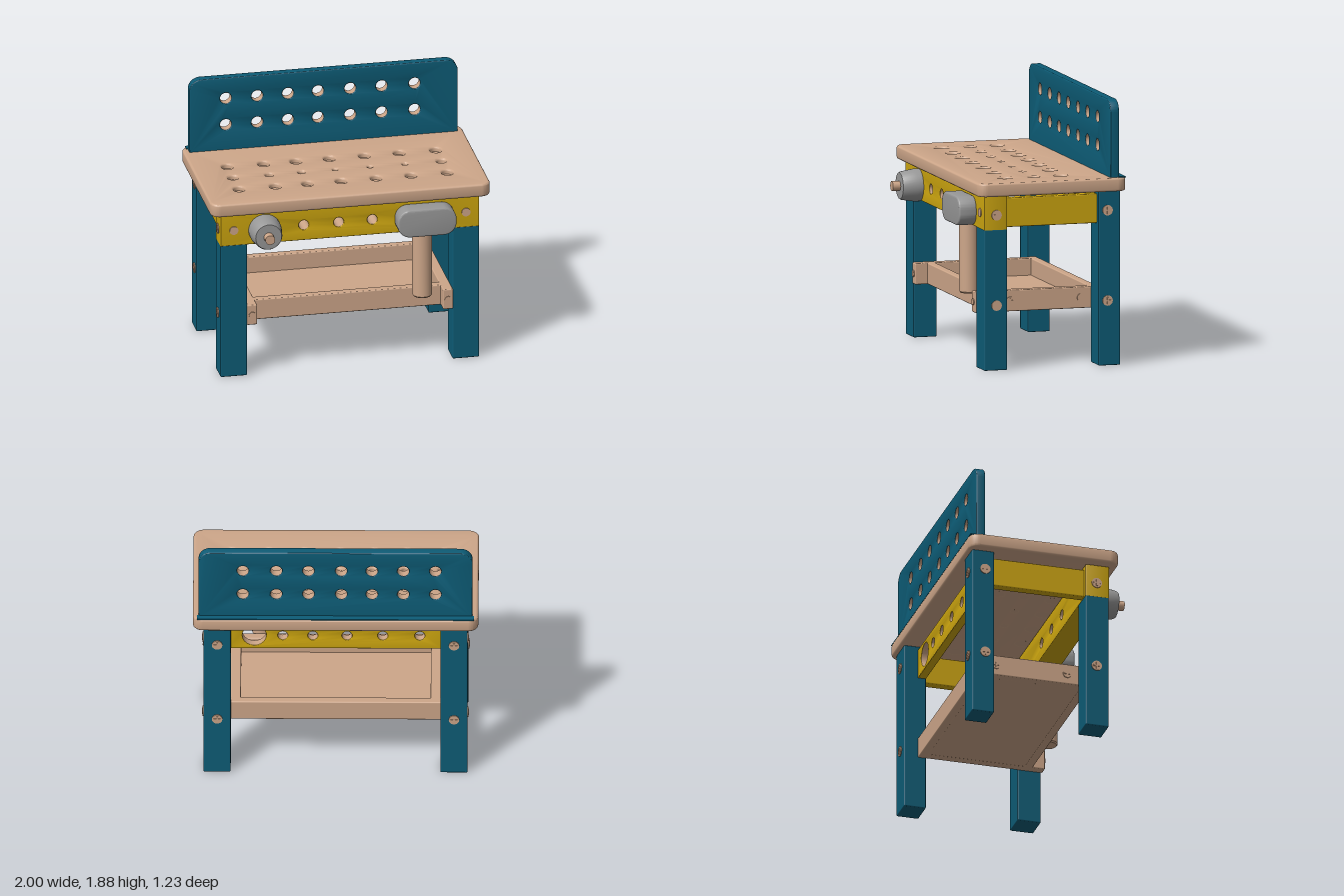
import * as THREE from 'three';
import { toCreasedNormals } from 'three/addons/utils/BufferGeometryUtils.js';
import { RoundedBoxGeometry } from 'three/addons/geometries/RoundedBoxGeometry.js';

const material = (name, color, side = THREE.FrontSide) => {
  const m = new THREE.MeshStandardMaterial({ color, side });
  m.name = name;
  return m;
};

export function createModel() {
  const blue = material('blue paint', 0x0d5c76);
  const yellow = material('yellow paint', 0xcca50f);
  const wood = material('light wood', 0xcda689, THREE.DoubleSide);
  const grey = material('grey paint', 0x979797);
  const model = new THREE.Group();
  model.name = 'toyWorkbench';

  const add = (name, geometry, mat, x = 0, y = 0, z = 0, parent = model) => {
    const mesh = new THREE.Mesh(geometry, mat);
    mesh.name = name;
    mesh.position.set(x, y, z);
    parent.add(mesh);
    return mesh;
  };

  // Softly edged box given by its limits on each axis
  const block = (name, mat, [x0, x1], [y0, y1], [z0, z1], r = 0.008) =>
    add(name, new RoundedBoxGeometry(x1 - x0, y1 - y0, z1 - z0, 2, r), mat,
      (x0 + x1) / 2, (y0 + y1) / 2, (z0 + z1) / 2);

  // Rectangle outline with separate lower and upper corner radii
  const outline = (x0, x1, y0, y1, lower, upper) => {
    const s = new THREE.Shape();
    s.moveTo(x0 + lower, y0);
    s.lineTo(x1 - lower, y0);
    if (lower) s.absarc(x1 - lower, y0 + lower, lower, -Math.PI / 2, 0);
    s.lineTo(x1, y1 - upper);
    if (upper) s.absarc(x1 - upper, y1 - upper, upper, 0, Math.PI / 2);
    s.lineTo(x0 + upper, y1);
    if (upper) s.absarc(x0 + upper, y1 - upper, upper, Math.PI / 2, Math.PI);
    s.lineTo(x0, y0 + lower);
    if (lower) s.absarc(x0 + lower, y0 + lower, lower, Math.PI, Math.PI * 1.5);
    return s;
  };

  // Extrusion from z = 0 to depth, keeping the outline at full size after bevelling
  const extrude = (shape, depth, bevel = 0) => toCreasedNormals(
    new THREE.ExtrudeGeometry(shape, {
      depth: depth - 2 * bevel, bevelEnabled: bevel > 0, bevelThickness: bevel,
      bevelSize: bevel, bevelOffset: -bevel, bevelSegments: 3, curveSegments: 10,
    }).translate(0, 0, bevel), 0.6);

  // Upright board with round holes [x, y, radius] lined in bare wood
  const drilledBoard = (name, mat, shape, z0, depth, holes, bevel) => {
    const group = new THREE.Group();
    group.name = name;
    model.add(group);
    for (const [x, y, r] of holes) {
      shape.holes.push(new THREE.Path().absellipse(x, y, r, r, 0, Math.PI * 2, true));
      const liner = new THREE.CylinderGeometry(r - 0.001, r - 0.001, depth - 0.006, 24, 1, true);
      add('holeLining', liner.rotateX(Math.PI / 2), wood, x, y, z0 + depth / 2, group);
    }
    add(name + 'Panel', extrude(shape, depth, bevel), mat, 0, 0, z0, group);
  };

  // Cross-head screw facing along the given direction
  const screw = (x, y, z, dir, r = 0.037, cross = true) => {
    const group = new THREE.Group();
    group.name = 'screw';
    add('screwHead', new THREE.CylinderGeometry(r, r, 0.014, 20).rotateX(Math.PI / 2), wood, 0, 0, 0, group);
    if (cross) for (const [w, h] of [[1.3, 0.3], [0.3, 1.3]]) {
      add('screwCross', new THREE.BoxGeometry(r * w, r * h, 0.006), wood, 0, 0, 0.008, group);
    }
    group.position.set(x, y, z);
    group.lookAt(x + dir[0], y + dir[1], z + dir[2]);
    model.add(group);
  };

  // Worktop with blind holes
  const top = outline(-1, 1, -0.48, 0.61, 0.07, 0.07);
  const columns = [-0.75, -0.49, -0.26, -0.02, 0.23, 0.48, 0.74];
  const middleRadii = [0.037, 0.03, 0.025, 0.018, 0.018, 0.02, 0.036];
  columns.forEach((x, i) => {
    for (const z of [-0.2, 0, 0.21]) {
      const rx = z ? 0.04 : middleRadii[i];
      top.holes.push(new THREE.Path().absellipse(x, -z, rx, z ? 0.047 : rx, 0, Math.PI * 2, true));
    }
  });
  const topGeometry = new THREE.ExtrudeGeometry(top, {
    depth: 0.065, bevelThickness: 0.015, bevelSize: 0.015, bevelOffset: -0.015,
    bevelSegments: 3, curveSegments: 10,
  }).rotateX(-Math.PI / 2);
  add('worktop', toCreasedNormals(topGeometry, 0.6), wood, 0, 1.255, 0);
  add('holeFloor', new THREE.BoxGeometry(1.8, 0.058, 0.7), wood, 0, 1.271, 0);
  add('rearPaintStrip', new THREE.BoxGeometry(1.94, 0.007, 0.05), blue, 0, 1.337, -0.58);

  // Pegboard
  const pegHoles = [-0.7, -0.475, -0.255, -0.04, 0.19, 0.415, 0.65]
    .flatMap((x) => [[x, 1.525, 0.042], [x, 1.725, 0.042]]);
  drilledBoard('pegboard', blue, outline(-0.96, 0.96, 1.325, 1.88, 0, 0.085), -0.56, 0.065, pegHoles, 0.006);

  // Front and back aprons
  const smallHoles = [-0.33, -0.08, 0.16].map((x) => [x, 1.11, 0.036]);
  drilledBoard('frontApron', yellow, outline(-0.925, 0.925, 0.995, 1.235, 0, 0), 0.25, 0.17, smallHoles, 0.005);
  drilledBoard('backApron', yellow, outline(-0.75, 0.75, 1.0, 1.215, 0, 0), -0.48, 0.06,
    [...smallHoles, [-0.59, 1.11, 0.036], [0.37, 1.11, 0.036], [0.57, 1.11, 0.085]], 0.004);

  // Legs, side rails, shelf sides and screws, mirrored left and right
  for (const s of [1, -1]) {
    const span = (a, b) => (s > 0 ? [a, b] : [-b, -a]);
    block('frontLeg', blue, span(0.735, 0.925), [0, 1.0], [0.25, 0.42]);
    block('backLeg', blue, span(0.735, 0.925), [0, 1.242], [-0.58, -0.42]);
    block('sideApron', yellow, span(0.81, 0.88), [1.005, 1.212], [-0.43, 0.26]);
    block('shelfSide', wood, span(0.665, 0.737), [0.385, 0.535], [-0.47, 0.43]);
    for (const y of [0.46, 1.1]) {
      screw(s * 0.925, y, 0.33, [s, 0, 0]);
      screw(s * 0.925, y, -0.485, [s, 0, 0]);
      screw(s * 0.83, y, -0.58, [0, 0, -1]);
    }
    for (const z of [0.17, -0.35]) screw(s * 0.737, 0.46, z, [s, 0, 0], 0.03);
    screw(s * 0.83, 1.11, 0.42, [0, 0, 1], 0.031, false);
    screw(s * 0.7, 0.46, 0.43, [0, 0, 1], 0.024, false);
  }

  // Shelf tray
  block('shelfFront', wood, [-0.68, 0.68], [0.385, 0.535], [0.28, 0.34]);
  block('shelfBack', wood, [-0.74, 0.74], [0.385, 0.535], [-0.48, -0.42]);
  block('shelfFloor', wood, [-0.68, 0.68], [0.387, 0.415], [-0.44, 0.3]);

  // Round vise knob with wooden spindle
  const knobProfile = [[0, 0], [0.115, 0], [0.115, 0.04], [0.1, 0.13], [0.093, 0.143], [0, 0.145]]
    .map(([r, h]) => new THREE.Vector2(r, h));
  const knob = new THREE.LatheGeometry(knobProfile, 36).rotateX(Math.PI / 2);
  add('viseKnob', toCreasedNormals(knob, 0.5), grey, -0.61, 1.1, 0.42);
  add('knobSpindle', new THREE.CylinderGeometry(0.035, 0.035, 0.08, 20).rotateX(Math.PI / 2), wood, -0.61, 1.1, 0.58);

  // Clamp jaw with hanging handle
  add('clampJaw', extrude(outline(0.32, 0.74, 1.0, 1.205, 0.09, 0.09), 0.13, 0.012), grey, 0, 0, 0.415);
  const handleProfile = [[0, 0], [0.062, 0], [0.07, 0.01], [0.07, 0.52], [0, 0.52]]
    .map(([r, h]) => new THREE.Vector2(r, h));
  add('clampHandle', toCreasedNormals(new THREE.LatheGeometry(handleProfile, 28), 0.5), wood, 0.52, 0.5, 0.405);

  return model;
}
